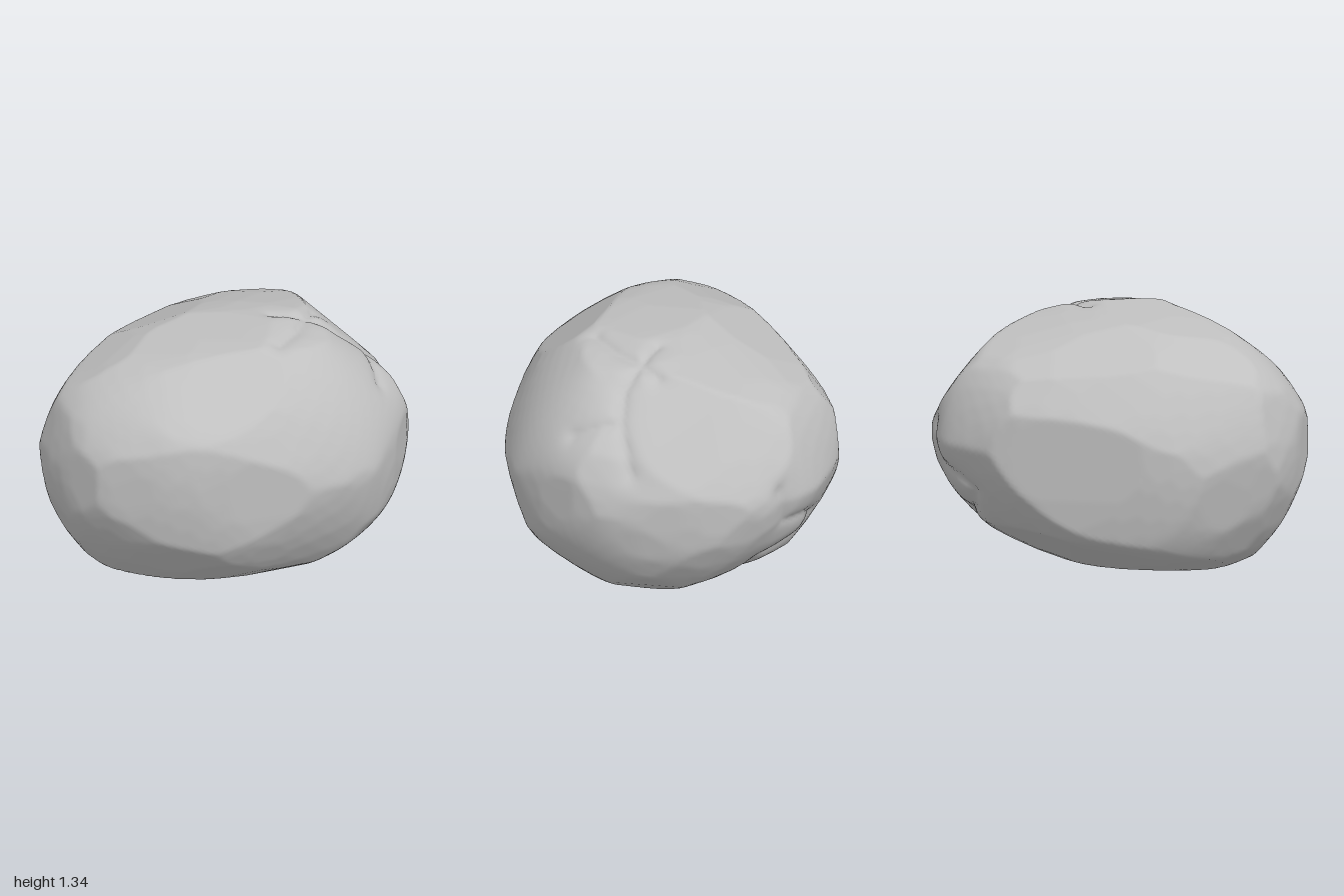
import * as THREE from 'three';
import { mergeVertices } from 'three/addons/utils/BufferGeometryUtils.js';

const V = (x, y, z) => new THREE.Vector3(x, y, z);
const CENTRE = V(0, 0.67, 0);

// Outlines of the boulder seen along six axes: (across, up) from its centre
const FRONT = [
  [-1, -0.13], [-0.985, 0.075], [-0.91, 0.34], [-0.79, 0.465], [-0.64, 0.54], [-0.175, 0.63],
  [0.34, 0.67], [0.53, 0.62], [0.685, 0.5], [0.89, 0.28], [0.985, 0.09], [0.995, -0.07],
  [0.96, -0.275], [0.89, -0.425], [0.57, -0.67], [-0.56, -0.67], [-0.705, -0.62], [-0.8, -0.53],
  [-0.87, -0.43], [-0.945, -0.275],
];
const SIDE = [
  [-0.9, 0.07], [-0.9, -0.11], [-0.815, -0.335], [-0.71, -0.505], [-0.55, -0.64], [-0.455, -0.67],
  [0.27, -0.67], [0.66, -0.465], [0.76, -0.33], [0.855, -0.155], [0.9, -0.005], [0.885, 0.165],
  [0.81, 0.325], [0.69, 0.45], [0.25, 0.605], [0.05, 0.65], [-0.375, 0.67], [-0.58, 0.58],
  [-0.735, 0.41], [-0.805, 0.285],
];
const PLAN = [
  [-1, -0.03], [-0.98, 0.08], [-0.9, 0.23], [-0.79, 0.38], [-0.57, 0.55], [0, 0.81], [0.23, 0.905],
  [0.42, 0.88], [0.6, 0.81], [0.76, 0.68], [0.88, 0.53], [0.96, 0.25], [0.99, 0], [0.995, -0.26],
  [0.92, -0.43], [0.78, -0.63], [0.6, -0.8], [0.38, -0.88], [0.2, -0.9], [-0.4, -0.78],
  [-0.6, -0.68], [-0.86, -0.49], [-0.97, -0.24],
];
const FRONT_SLANT = [
  [-1.005, 0.095], [-0.96, 0.26], [-0.86, 0.43], [-0.72, 0.56], [-0.195, 0.667], [0.58, 0.58],
  [0.83, 0.47], [0.955, 0.29], [1.02, 0.065], [1.02, -0.03], [0.96, -0.265], [0.845, -0.46],
  [0.595, -0.73], [0.24, -0.84], [0.03, -0.84], [-0.38, -0.72], [-0.63, -0.585], [-0.855, -0.35],
  [-0.96, -0.13],
];
const BACK_SLANT = [
  [-1.03, 0.01], [-1.005, 0.12], [-0.895, 0.29], [-0.59, 0.58], [-0.34, 0.745], [-0.1, 0.83],
  [0.145, 0.78], [0.52, 0.565], [0.79, 0.4], [0.95, 0.18], [1.005, 0], [0.965, -0.24],
  [0.855, -0.5], [0.735, -0.63], [0.54, -0.73], [0.235, -0.76], [-0.17, -0.7], [-0.7, -0.515],
  [-0.895, -0.305], [-0.99, -0.14],
];
const UNDER_SLANT = [
  [-0.11, 0.815], [0.265, 0.745], [0.52, 0.51], [0.73, 0.25], [0.835, 0.04], [0.87, -0.145],
  [0.78, -0.505], [0.605, -0.75], [0.245, -0.89], [-0.01, -0.885], [-0.48, -0.75],
  [-0.765, -0.575], [-0.94, -0.36], [-0.99, -0.19], [-1.01, 0.18], [-0.955, 0.355],
  [-0.765, 0.58], [-0.48, 0.725],
];

// Cracks between the lobes, as paths near the surface
const CRACKS = [
  [[0.28, 1.29, 0.07], [0.45, 1.28, 0.13], [0.6, 1.2, 0.2], [0.74, 1.09, 0.2], [0.9, 0.88, 0.12]],
  [[0.45, 1.28, 0.13], [0.36, 1.3, 0.28], [0.2, 1.3, 0.42]],
  [[0.74, 1.09, 0.2], [0.75, 1.0, 0.45]],
  [[0.45, 1.28, 0.13], [0.53, 1.26, 0.03]],
  [[0.72, 0.75, -0.63], [0.71, 0.55, -0.67], [0.52, 0.52, -0.76], [0.42, 0.45, -0.78],
    [0.5, 0.32, -0.73], [0.72, 0.22, -0.6], [0.6, 0.12, -0.42]],
].map((path) => path.map((p) => V(...p).sub(CENTRE).normalize()));

// Distance from centre to each tangent plane touching an outline (azimuth, elevation in degrees)
function tangentPlanes(outline, azimuth, elevation) {
  const a = THREE.MathUtils.degToRad(azimuth), e = THREE.MathUtils.degToRad(elevation);
  const across = V(Math.cos(a), 0, -Math.sin(a));
  const up = V(-Math.sin(a) * Math.sin(e), Math.cos(e), -Math.cos(a) * Math.sin(e));
  return Array.from({ length: 72 }, (_, i) => {
    const c = Math.cos(i * Math.PI / 36), s = Math.sin(i * Math.PI / 36);
    const normal = V(0, 0, 0).addScaledVector(across, c).addScaledVector(up, s);
    return { normal, reach: Math.max(...outline.map(([u, v]) => u * c + v * s)) };
  });
}

// Tangent distance of a plain ellipsoid, the base shape
const ellipsoid = (n) => Math.hypot(n.x, 0.67 * n.y, 0.9 * n.z);

// Fill the directions between the outlines with smoothly blended planes
function allPlanes() {
  const known = [
    ...tangentPlanes(FRONT, 0, 0), ...tangentPlanes(SIDE, 90, 0), ...tangentPlanes(PLAN, 0, 90),
    ...tangentPlanes(FRONT_SLANT, 35, 25), ...tangentPlanes(BACK_SLANT, 215, 25),
    ...tangentPlanes(UNDER_SLANT, 145, -30),
  ];
  const planes = [...known], count = 2400;
  for (let i = 0; i < count; i++) {
    const y = 1 - (2 * i + 1) / count, r = Math.sqrt(1 - y * y), turn = i * 2.399963;
    const normal = V(r * Math.cos(turn), y, r * Math.sin(turn));
    let sum = 0, total = 0;
    for (const k of known) {
      const weight = 1 / (k.normal.distanceToSquared(normal) + 0.002) ** 2;
      sum += weight * (k.reach - ellipsoid(k.normal));
      total += weight;
    }
    planes.push({ normal, reach: ellipsoid(normal) + sum / total });
  }
  return planes;
}

// Angular distance from a direction to the nearest crack
function crackDistance(dir) {
  const line = new THREE.Line3(), near = V(0, 0, 0);
  let best = 9;
  for (const path of CRACKS) {
    for (let i = 0; i + 1 < path.length; i++) {
      line.set(path[i], path[i + 1]).closestPointToPoint(dir, true, near);
      best = Math.min(best, near.normalize().distanceTo(dir));
    }
  }
  return best;
}

// A fine ball whose vertices move out to the nearest plane, then in at the cracks
function boulderGeometry() {
  const ball = new THREE.IcosahedronGeometry(1, 44);
  ball.deleteAttribute('normal');
  ball.deleteAttribute('uv');
  const geometry = mergeVertices(ball, 1e-5);
  const planes = allPlanes(), position = geometry.attributes.position, dir = V(0, 0, 0);
  for (let i = 0; i < position.count; i++) {
    dir.fromBufferAttribute(position, i).normalize();
    let radius = 9;
    for (const { normal, reach } of planes) {
      const facing = normal.dot(dir);
      if (facing > 0.2) radius = Math.min(radius, reach / facing);
    }
    radius -= 0.036 * Math.exp(-Math.hypot(crackDistance(dir), 0.01) / 0.04);
    const p = dir.multiplyScalar(radius).add(CENTRE);
    position.setXYZ(i, p.x, Math.max(0, p.y), p.z);
  }
  geometry.computeVertexNormals();
  return geometry;
}

export function createModel() {
  const group = new THREE.Group();
  group.name = 'rock';
  const stone = new THREE.MeshStandardMaterial({ color: 0xc0c0c0 });
  stone.name = 'grey stone';
  const boulder = new THREE.Mesh(boulderGeometry(), stone);
  boulder.name = 'boulder';
  group.add(boulder);
  return group;
}
